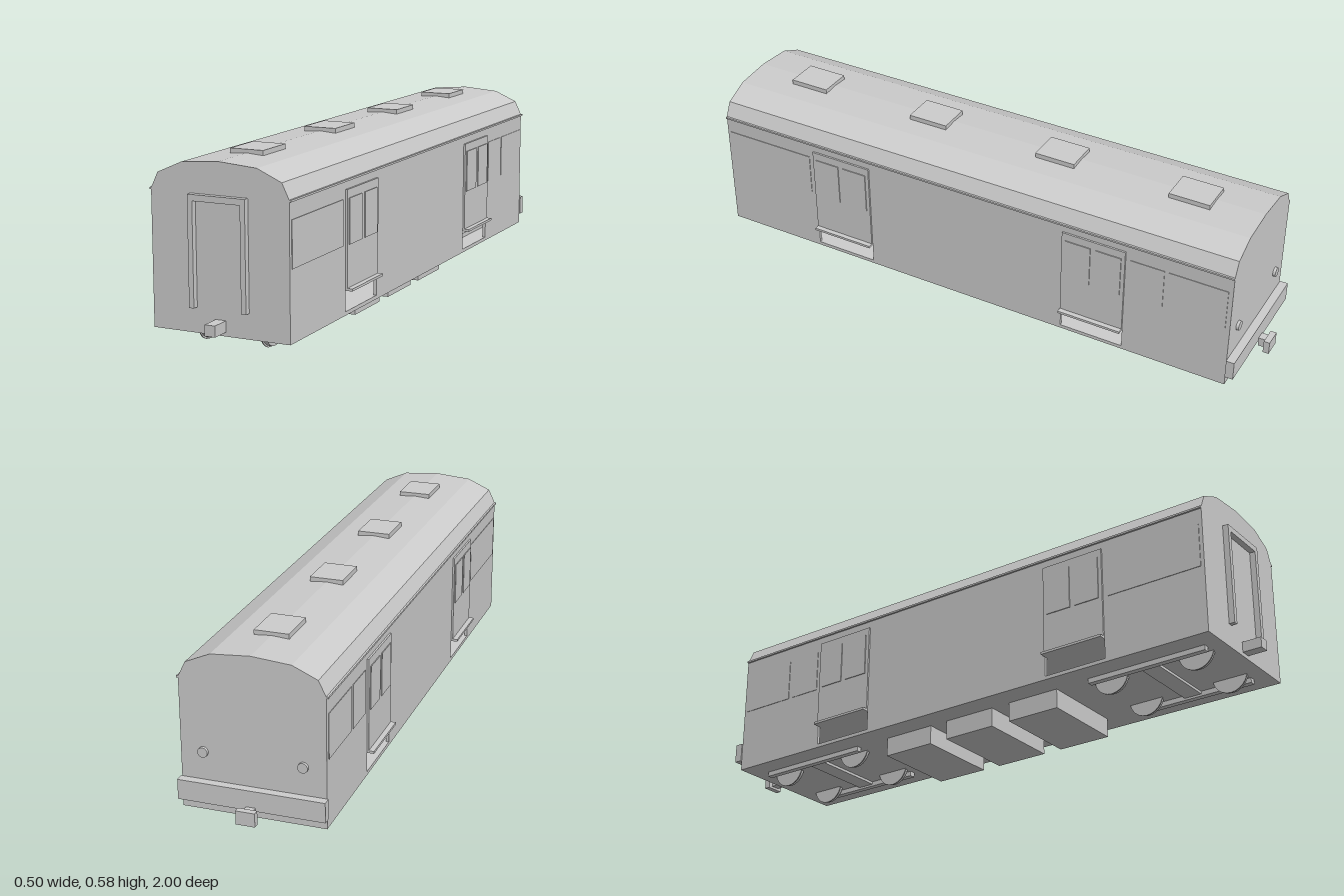
import * as THREE from 'three';

export function createModel() {
  const model = new THREE.Group();
  const grey = new THREE.MeshStandardMaterial({ color: 0xcccccc });
  grey.name = 'light grey';

  const add = (name, geometry, parent = model) => {
    const mesh = new THREE.Mesh(geometry, grey);
    mesh.name = name;
    parent.add(mesh);
    return mesh;
  };
  // Box given by its limits on each axis
  const box = (name, [x0, x1], [y0, y1], [z0, z1], parent = model) => {
    const mesh = add(name, new THREE.BoxGeometry(x1 - x0, y1 - y0, z1 - z0), parent);
    mesh.position.set((x0 + x1) / 2, (y0 + y1) / 2, (z0 + z1) / 2);
    return mesh;
  };
  // Box on one side of the car; side is +1 or -1
  const sideBox = (name, side, [a, b], y, z) =>
    box(name, side > 0 ? [a, b] : [-b, -a], y, z);
  const extrude = (points, depth) => new THREE.ExtrudeGeometry(
    new THREE.Shape(points.map(([x, y]) => new THREE.Vector2(x, y))),
    { depth, bevelEnabled: false });

  const front = 0.937, back = -0.93, W = 0.226;
  const floorY = 0.065, sillY = 0.143;
  const doors = [[0.363, 0.582], [-0.574, -0.355]];

  // Upper body with faceted roof
  const half = [[W, sillY], [W, 0.482], [0.203, 0.53], [0.124, 0.565]];
  const mirrored = half.map(([x, y]) => [-x, y]).reverse();
  add('bodyAndRoof', extrude([...half, [0, 0.575], ...mirrored], front - back))
    .position.z = back;

  // Lower body: floor, ends and skirts, open below each door
  box('floor', [-W, W], [floorY, 0.077], [back, front]);
  box('frontApron', [-W, W], [0.077, sillY], [front - 0.01, front]);
  box('backApron', [-W, W], [0.077, sillY], [back, back + 0.01]);
  const skirts = [[back + 0.01, doors[1][0]], [doors[1][1], doors[0][0]], [doors[0][1], front - 0.01]];

  for (const side of [1, -1]) {
    for (const z of skirts) sideBox('skirt', side, [W - 0.01, W], [0.077, sillY], z);
    sideBox('gutter', side, [W - 0.002, 0.232], [0.477, 0.483], [back, front]);

    // Doors with two windows and a step
    for (const [z0, z1] of doors) {
      sideBox('door', side, [W, 0.232], [0.15, 0.452], [z0, z1]);
      sideBox('doorStep', side, [W - 0.01, 0.249], [0.142, 0.15], [z0, z1]);
      const mid = (z0 + z1) / 2;
      for (const s of [-1, 1]) {
        const c = mid + s * 0.053;
        sideBox('doorWindow', side, [0.232, 0.235], [0.283, 0.425], [c - 0.044, c + 0.044]);
      }
    }
    // Windows at both ends of the side
    for (const z of [[-0.705, -0.59], [-0.915, -0.72], [0.6, 0.925]])
      sideBox('sideWindow', side, [W, W + 0.002], [0.283, 0.425], z);

    // Tail lamps
    const lamp = add('tailLamp', new THREE.CylinderGeometry(0.016, 0.016, 0.012, 16));
    lamp.rotation.x = Math.PI / 2;
    lamp.position.set(side * 0.155, 0.253, back - 0.003);
  }

  // Roof vents
  for (const z of [-0.7, -0.235, 0.235, 0.705])
    box('roofVent', [-0.055, 0.055], [0.568, 0.586], [z - 0.069, z + 0.069]);

  // Gangway frame on the front
  add('gangwayFrame', extrude([
    [-0.094, 0.142], [-0.078, 0.142], [-0.078, 0.458], [0.078, 0.458],
    [0.078, 0.142], [0.094, 0.142], [0.094, 0.477], [-0.094, 0.477],
  ], 0.019)).position.z = front;

  // Couplers and the back beam
  box('frontCoupler', [-0.017, 0.017], [0.078, 0.112], [front, 1]);
  box('backBeam', [-0.23, 0.23], [0.099, 0.163], [-0.957, back]);
  box('couplerShaft', [-0.015, 0.015], [0.08, 0.11], [-0.98, -0.957]);
  box('couplerHead', [-0.03, 0.03], [0.072, 0.116], [-1, -0.98]);

  // Underfloor equipment boxes
  for (const z of [0.26, 0.01, -0.239])
    box('equipmentBox', [-0.147, 0.147], [0.002, floorY], [z - 0.092, z + 0.092]);

  // Bogies: side bars, bolster and four flanged wheels
  for (const zc of [0.678, -0.662]) {
    const bogie = new THREE.Group();
    bogie.name = 'bogie';
    bogie.position.z = zc;
    model.add(bogie);
    box('bolster', [-0.135, 0.135], [0.056, 0.09], [-0.03, 0.03], bogie);
    for (const x of [-0.144, 0.144])
      box('sideBar', [x - 0.01, x + 0.01], [0.049, 0.092], [-0.205, 0.205], bogie);
    for (const z of [-0.15, 0.15]) {
      for (const x of [-0.098, 0.109]) {
        const wheel = new THREE.Group();
        wheel.name = 'wheel';
        wheel.position.set(x, 0.077, z);
        wheel.rotation.z = Math.PI / 2;
        bogie.add(wheel);
        add('tread', new THREE.CylinderGeometry(0.055, 0.055, 0.017, 24), wheel);
        add('flange', new THREE.CylinderGeometry(0.06, 0.06, 0.004, 24), wheel).position.y = 0.007;
      }
      const axle = add('axle', new THREE.CylinderGeometry(0.01, 0.01, 0.21, 10), bogie);
      axle.rotation.z = Math.PI / 2;
      axle.position.set(0.005, 0.077, z);
    }
  }
  return model;
}
